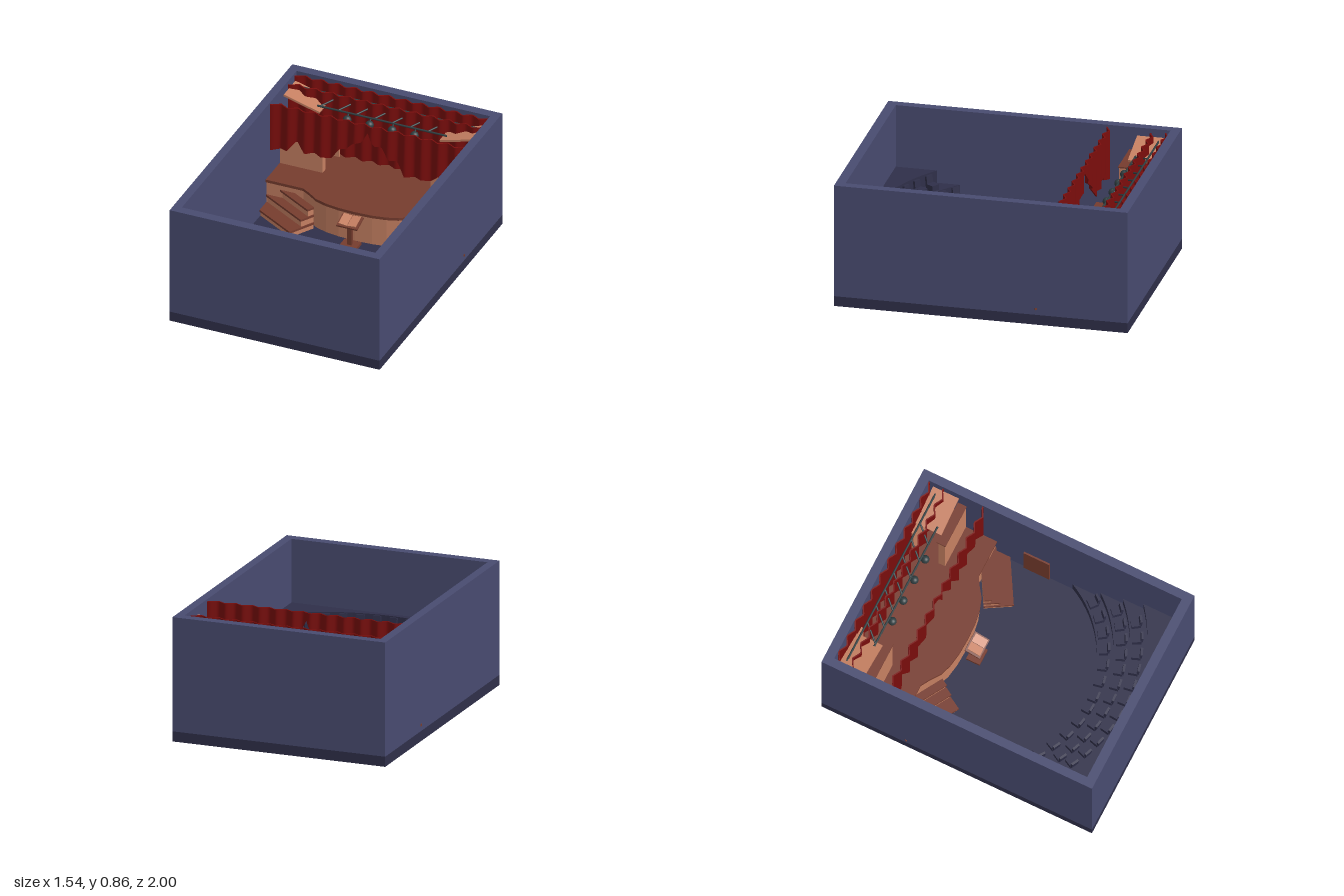
import * as THREE from 'three';

const mat = (name, color, extra = {}) => Object.assign(new THREE.MeshStandardMaterial({ color, ...extra }), { name });

export function createModel() {
  const root = new THREE.Group();
  root.name = 'theatre';
  const wall = mat('wallBlue', 0x484b70);
  const floor = mat('floorNavy', 0x2f2f49);
  const wood = mat('darkWood', 0x763c2e);
  const tan = mat('lightWood', 0xc68062);
  const red = mat('curtainRed', 0x7a0d0c);
  const metal = mat('riggingMetal', 0x2f3d40);

  const add = (name, geo, m, parent = root) => {
    const mesh = new THREE.Mesh(geo, m);
    mesh.name = name;
    parent.add(mesh);
    return mesh;
  };
  // Box given by its minimum and maximum corners
  const box = (name, m, x0, x1, y0, y1, z0, z1, parent = root) => {
    const b = add(name, new THREE.BoxGeometry(Math.abs(x1 - x0), y1 - y0, z1 - z0), m, parent);
    b.position.set((x0 + x1) / 2, (y0 + y1) / 2, (z0 + z1) / 2);
    return b;
  };
  // Plan outline (x, z) raised from y0 to y1
  const slab = (name, m, pts, y0, y1) => {
    const shape = new THREE.Shape(pts.map(([x, z]) => new THREE.Vector2(x, -z)));
    const geo = new THREE.ExtrudeGeometry(shape, { depth: y1 - y0, bevelEnabled: false });
    geo.rotateX(-Math.PI / 2);
    geo.translate(0, y0, 0);
    return add(name, geo, m);
  };
  // Round bar between two points
  const bar = (name, a, b, r, parent = root) =>
    add(name, new THREE.TubeGeometry(new THREE.LineCurve3(new THREE.Vector3(...a), new THREE.Vector3(...b)), 1, r, 8), metal, parent);

  // Base and outer walls
  box('base', floor, -0.76, 0.76, 0, 0.07, -1, 1);
  box('frontWall', wall, -0.76, 0.76, 0.07, 0.86, 0.935, 1);
  box('backWall', wall, -0.76, 0.76, 0.07, 0.86, -1, -0.935);
  for (const s of [-1, 1]) box('sideWall', wall, s * 0.7, s * 0.76, 0.07, 0.86, -0.935, 0.935);
  box('sideDoor', wood, 0.688, 0.7, 0.07, 0.35, -0.23, -0.04);

  // Stage with a curved apron and a projecting lip
  const half = [[0.7, -0.43], [0.43, -0.43], [0.37, -0.395], [0.3, -0.345], [0.22, -0.318], [0.12, -0.302], [0, -0.297]];
  const apron = [...half, ...half.slice(0, -1).reverse().map(([x, z]) => [-x, z])];
  const outline = inset => [[0.7, -0.935], ...apron.map(([x, z]) => [x, z - inset]), [-0.7, -0.935]];
  slab('stageFront', tan, outline(0.012), 0.07, 0.28);
  slab('stageFloor', wood, outline(0), 0.28, 0.3);

  // Angled side steps: light risers with dark treads
  for (const s of [-1, 1]) {
    const steps = new THREE.Group();
    steps.name = 'sideSteps';
    steps.position.set(s * 0.407, 0, -0.16);
    steps.rotation.y = s * 0.53;
    root.add(steps);
    [[0, 0.12, 0.418], [0.09, 0.18, 0.42], [0.145, 0.24, 0.42]].forEach(([d, y, len]) => {
      box('riser', tan, s * 0.008, s * (len - 0.005), 0.065, y - 0.015, -0.2, -d - 0.01, steps);
      box('tread', wood, 0, s * len, y - 0.015, y, -0.2, -d, steps);
    });
  }

  // Conductor's stand with an open score
  const stand = new THREE.Group();
  stand.name = 'conductorStand';
  stand.position.set(0, 0, -0.23);
  root.add(stand);
  box('standFoot', wood, -0.06, 0.06, 0.07, 0.09, -0.05, 0.05, stand);
  box('standPost', wood, -0.015, 0.015, 0.09, 0.26, -0.015, 0.015, stand);
  const desk = new THREE.Group();
  desk.name = 'standDesk';
  desk.position.y = 0.265;
  desk.rotation.x = 0.3;
  stand.add(desk);
  box('deskBoard', wood, -0.075, 0.075, -0.008, 0.004, -0.055, 0.06, desk);
  for (const s of [-1, 1]) {
    const page = box('scorePage', tan, s * 0.002, s * 0.062, 0.008, 0.015, -0.045, 0.05, desk);
    page.rotation.z = s * 0.12;
  }

  // Pleated curtains: hem(x) gives the lower edge
  const curtain = (name, z, top, hem) => {
    const geo = new THREE.BoxGeometry(1.4, 1, 0.01, 104, 1, 1);
    const p = geo.attributes.position;
    for (let i = 0; i < p.count; i++) {
      const x = p.getX(i);
      const fold = Math.asin(Math.sin(x * 52)) * 0.011;
      p.setZ(i, p.getZ(i) + fold);
      p.setY(i, p.getY(i) > 0 ? top : hem(Math.abs(x)));
    }
    geo.computeVertexNormals();
    add(name, geo, red).position.z = z;
  };
  const hemPoints = [[0, 0.79], [0.05, 0.7], [0.1, 0.69], [0.16, 0.62], [0.2, 0.62], [0.27, 0.52], [0.4, 0.53], [0.45, 0.52], [0.52, 0.59], [0.58, 0.51], [0.71, 0.49]];
  const swagged = x => {
    const i = Math.max(1, hemPoints.findIndex(q => q[0] >= x));
    const [a, b] = [hemPoints[i - 1], hemPoints[i]];
    return a[1] + (b[1] - a[1]) * (x - a[0]) / (b[0] - a[0]);
  };
  curtain('frontCurtain', -0.52, 0.845, swagged);
  curtain('middleCurtain', -0.815, 0.83, () => 0.6);
  curtain('backCurtain', -0.918, 0.84, () => 0.3);

  // Scenery houses at both rear corners
  for (const s of [-1, 1]) {
    const house = new THREE.Group();
    house.name = 'sceneryHouse';
    root.add(house);
    box('houseFront', tan, s * 0.39, s * 0.7, 0.3, 0.69, -0.71, -0.66, house);
    box('houseCap', wood, s * 0.385, s * 0.7, 0.69, 0.7, -0.72, -0.655, house);
    box('houseBack', tan, s * 0.37, s * 0.7, 0.3, 0.7, -0.9, -0.885, house);
    const roof = box('houseRoof', tan, s * 0.43, s * 0.7, 0.755, 0.77, -0.9, -0.71, house);
    roof.rotation.z = s * 0.27;
  }

  // Lighting rig: two pipes, diagonal braces and four lamps
  const rig = new THREE.Group();
  rig.name = 'lightingRig';
  root.add(rig);
  bar('rearPipe', [-0.665, 0.79, -0.865], [0.665, 0.79, -0.865], 0.007, rig);
  bar('frontPipe', [-0.47, 0.75, -0.755], [0.47, 0.75, -0.755], 0.007, rig);
  for (let i = 0; i < 7; i++) {
    const x = -0.45 + i * 0.13;
    bar('brace', [x, 0.75, -0.755], [x + 0.1, 0.79, -0.865], 0.006, rig);
  }
  for (const x of [-0.245, -0.083, 0.08, 0.242]) {
    add('lamp', new THREE.SphereGeometry(0.029, 14, 10), metal, rig).position.set(x, 0.71, -0.733);
    bar('lampHanger', [x, 0.72, -0.735], [x, 0.75, -0.755], 0.006, rig);
  }

  // Curved seating tiers, stepping up to the rear platform
  const cz = -0.215;
  [[0.78, 0.157], [0.89, 0.245], [1.0, 0.332], [1.115, 0.42]].forEach(([r, y], k) => {
    const pts = [];
    const a = Math.asin(0.7 / r);
    for (let i = 0; i <= 32; i++) {
      const t = -a + 2 * a * i / 32;
      pts.push([r * Math.sin(t), cz + r * Math.cos(t)]);
    }
    pts.push([0.7, 0.935], [-0.7, 0.935]);
    slab('seatingTier', floor, pts, k ? y - 0.088 : 0.07, y);
  });

  // Rows of seats facing the stage
  [[0.83, 0.157, 7, 7.9], [0.945, 0.245, 7, 6.4], [1.05, 0.332, 6, 6.1]].forEach(([r, y, count, gap]) => {
    for (const s of [-1, 1]) for (let i = 0; i < count; i++) {
      const t = s * THREE.MathUtils.degToRad(3.1 + gap * i);
      const seat = new THREE.Group();
      seat.name = 'seat';
      seat.position.set(r * Math.sin(t), y, cz + r * Math.cos(t));
      seat.rotation.y = t;
      root.add(seat);
      box('cushion', floor, -0.031, 0.031, 0, 0.04, -0.037, 0.025, seat);
      box('backrest', floor, -0.027, 0.027, 0.02, 0.09, 0.02, 0.036, seat).rotation.x = 0.12;
    }
  });
  return root;
}
